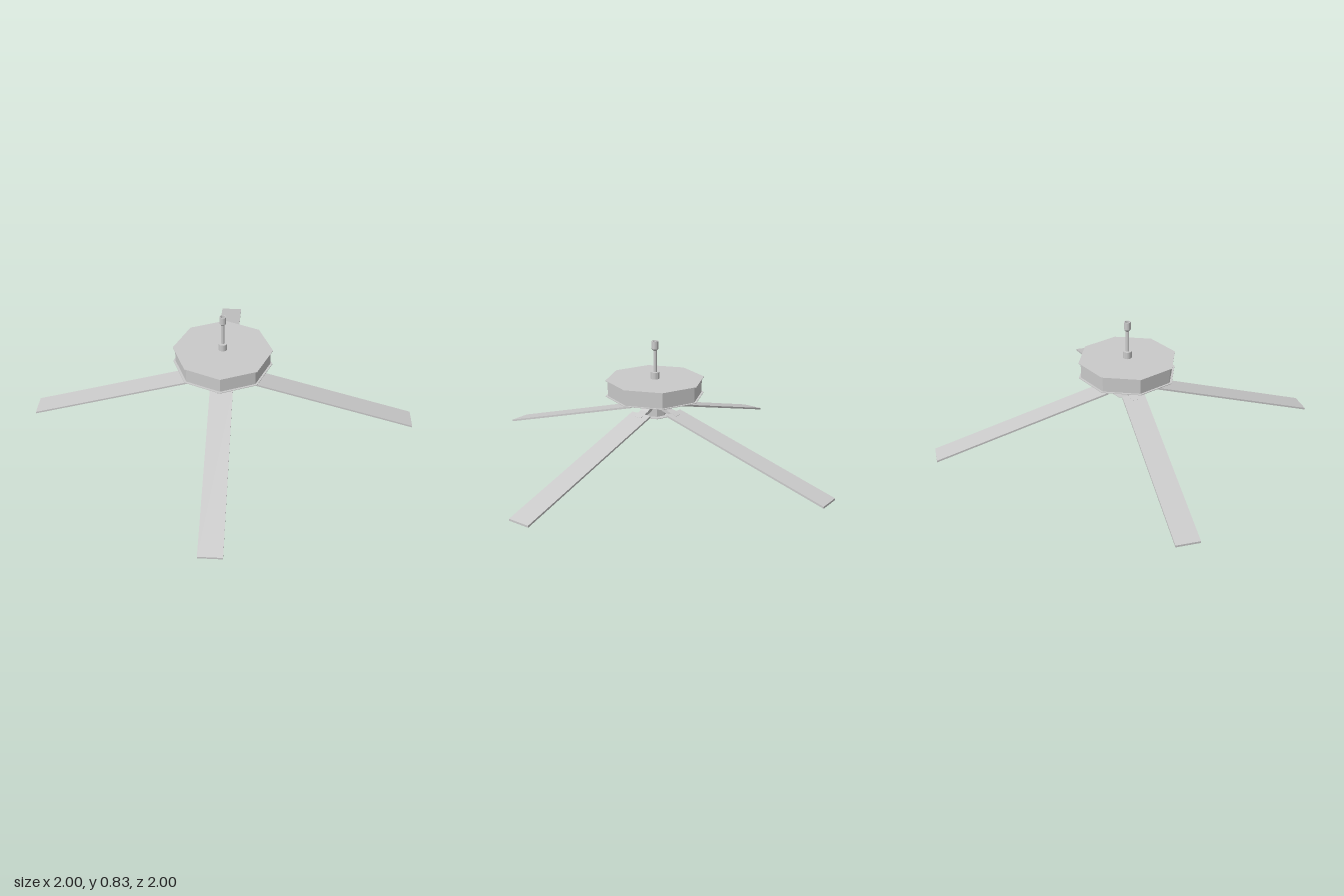
import * as THREE from 'three';

export function createModel() {
  const model = new THREE.Group();
  model.name = 'ceilingFan';
  const metal = new THREE.MeshStandardMaterial({ color: 0xcacaca });
  metal.name = 'light grey metal';
  metal.flatShading = true;

  const add = (name, geometry, parent = model) => {
    const mesh = new THREE.Mesh(geometry, metal);
    mesh.name = name;
    parent.add(mesh);
    return mesh;
  };
  // Upright prism between two heights
  const prism = (name, radius, y0, y1, sides = 8, topRadius = radius) => {
    add(name, new THREE.CylinderGeometry(topRadius, radius, y1 - y0, sides)).position.y = (y0 + y1) / 2;
  };
  // Side profile (radius, height) given a width across the blade
  const strip = (name, points, width, parent) => {
    const shape = new THREE.Shape(points.map(([r, y]) => new THREE.Vector2(r, y)));
    const geometry = new THREE.ExtrudeGeometry(shape, { depth: width, bevelEnabled: false });
    geometry.translate(0, 0, -width / 2);
    add(name, geometry, parent);
  };

  // Motor housing with its two overhanging plates
  prism('motorHousing', 0.325, 0.462, 0.568);
  prism('housingTopPlate', 0.34, 0.568, 0.572);
  prism('housingBottomPlate', 0.34, 0.458, 0.462);

  // Hub below the housing
  prism('hub', 0.08, 0.322, 0.46);
  prism('hubBottomPlate', 0.12, 0.318, 0.322);

  // Hanging rod with lower collar and hollow upper coupling
  prism('rodCollar', 0.03, 0.57, 0.62, 12);
  prism('rod', 0.012, 0.6, 0.8, 12);
  const coupling = [[0.012, 0.768], [0.023, 0.782], [0.023, 0.835], [0.017, 0.835], [0.017, 0.8], [0, 0.8]];
  add('rodCoupling', new THREE.LatheGeometry(coupling.map(([r, y]) => new THREE.Vector2(r, y)), 12));

  // Four drooping blades, each on a curved bracket
  for (let i = 0; i < 4; i++) {
    const arm = new THREE.Group();
    arm.name = 'bladeArm' + (i + 1);
    arm.rotation.y = Math.PI / 4 + (i * Math.PI) / 2;
    strip('blade', [[0.155, 0.347], [1.336, 0.002], [1.336, 0.015], [0.155, 0.36]], 0.156, arm);
    strip('bladeBracket', [
      [0.07, 0.37], [0.1, 0.355], [0.155, 0.347], [0.2, 0.335],
      [0.2, 0.348], [0.155, 0.362], [0.125, 0.37], [0.1, 0.385], [0.085, 0.41], [0.07, 0.41],
    ], 0.06, arm);
    model.add(arm);
  }
  return model;
}
